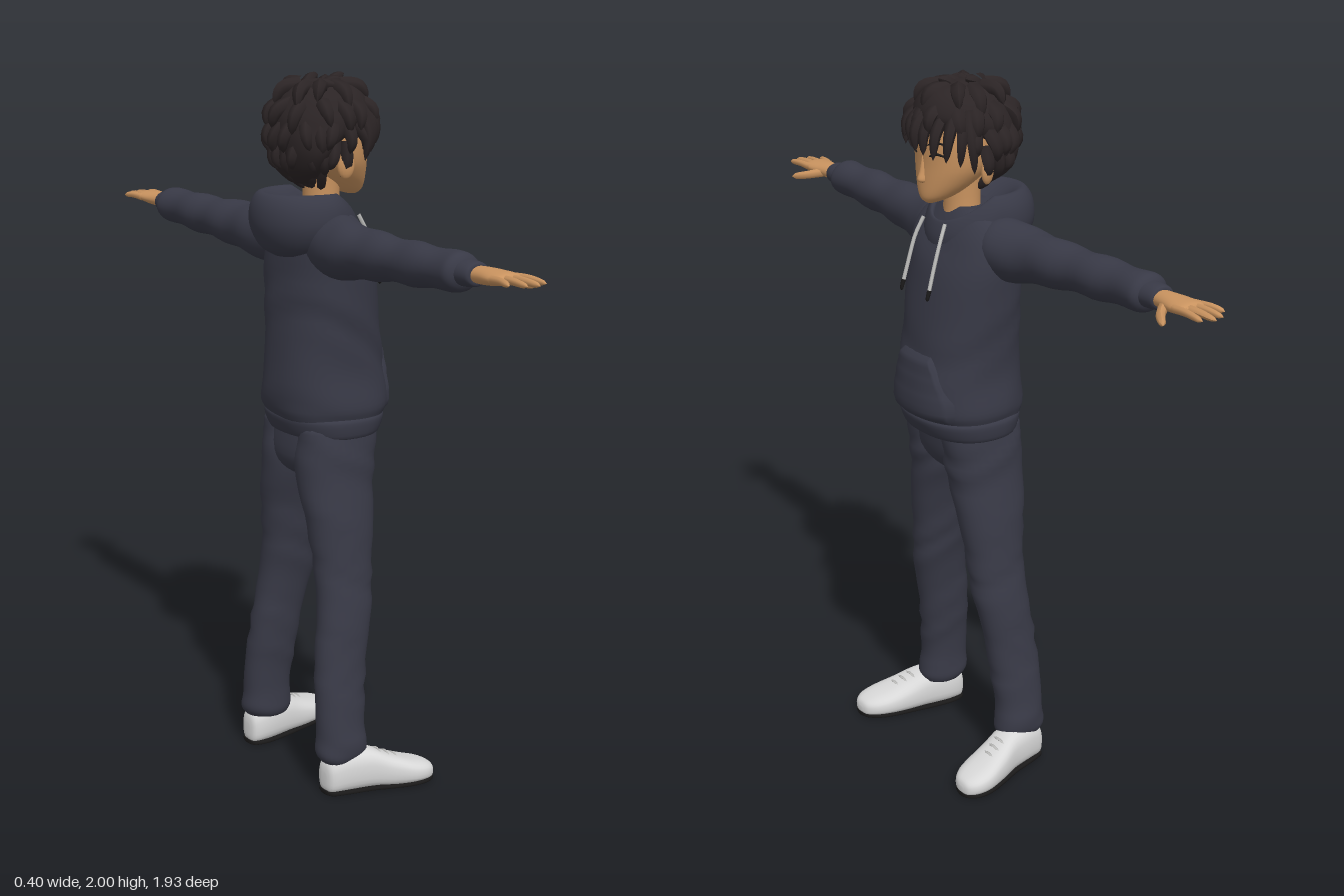
import * as THREE from 'three';

const mat = (name, color) => Object.assign(new THREE.MeshStandardMaterial({ color }), { name });
const V = (x, y, z) => new THREE.Vector3(x, y, z);

// Catmull-Rom resampling of cross-section rows
function smooth(rows, k = 4) {
  const out = [], at = i => rows[Math.min(Math.max(i, 0), rows.length - 1)];
  for (let i = 0; i < rows.length - 1; i++) for (let s = 0; s < k; s++) {
    const t = s / k, [a, b, c, d] = [at(i - 1), at(i), at(i + 1), at(i + 2)];
    out.push(b.map((q, n) => 0.5 * (2 * q + (c[n] - a[n]) * t + (2 * a[n] - 5 * q + 4 * c[n] - d[n]) * t * t
      + (3 * q - a[n] - 3 * c[n] + d[n]) * t * t * t)));
  }
  out.push(rows.at(-1));
  return out;
}

// Closed skin over rows [position along axis, centre 1, centre 2, radius 1, radius 2]
function loft(rows, axis, power = 2, n = 28) {
  const pos = [], idx = [], m = rows.length;
  const put = (t, u, v) => pos.push(...(axis === 'x' ? [t, u, v] : axis === 'y' ? [u, t, v] : [u, v, t]));
  const bend = c => Math.sign(c) * Math.abs(c) ** (2 / power);
  for (const [t, u, v, ru, rv] of rows) for (let j = 0; j < n; j++) {
    const a = j / n * Math.PI * 2, flip = axis === 'y' ? -1 : 1;
    put(t, u + Math.max(ru, 0.001) * bend(Math.cos(a)), v + flip * Math.max(rv, 0.001) * bend(Math.sin(a)));
  }
  put(...rows[0]); put(...rows[m - 1]);
  for (let j = 0; j < n; j++) {
    const k = (j + 1) % n, e = (m - 1) * n;
    for (let i = 0; i < m - 1; i++) {
      const a = i * n + j, b = i * n + k;
      idx.push(a, b, a + n, b, b + n, a + n);
    }
    idx.push(m * n, k, j, m * n + 1, e + j, e + k);
  }
  const g = new THREE.BufferGeometry();
  g.setAttribute('position', new THREE.Float32BufferAttribute(pos, 3));
  g.setIndex(idx);
  g.computeVertexNormals();
  return g;
}
// Upright section from height, centre x, half width, back z and front z
const up = rows => smooth(rows.map(([y, x, w, a, b]) => [y, x, (a + b) / 2, w, (b - a) / 2]));

// Move every vertex by a rule
function warp(g, rule) {
  const p = g.attributes.position, v = V(0, 0, 0), n = V(0, 0, 0);
  for (let i = 0; i < p.count; i++) {
    v.fromBufferAttribute(p, i);
    n.fromBufferAttribute(g.attributes.normal, i);
    rule(v, n);
    p.setXYZ(i, v.x, v.y, v.z);
  }
  g.computeVertexNormals();
  return g;
}
const folds = (g, amp, fx, fy) => warp(g, (v, n) =>
  v.addScaledVector(n, amp * Math.sin(fx * v.x + fy * v.y + 22 * v.z + 2 * Math.sin(19 * v.y + 13 * v.z))));

// Tube along points whose radius follows a rule
function taper(points, r, f, radial = 7) {
  const seg = 9, curve = new THREE.CatmullRomCurve3(points);
  const g = new THREE.TubeGeometry(curve, seg, r, radial), p = g.attributes.position;
  for (let i = 0; i < p.count; i++) {
    const t = Math.floor(i / (radial + 1)) / seg, c = curve.getPointAt(t);
    const v = V(0, 0, 0).fromBufferAttribute(p, i).sub(c).multiplyScalar(Math.max(f(t), 0.01)).add(c);
    p.setXYZ(i, v.x, v.y, v.z);
  }
  g.computeVertexNormals();
  return g;
}
const blunt = t => Math.sqrt(1 - t ** 8) * (1 - 0.25 * t);
const even = () => 1;

// Copy reflected across x with its faces turned back outward
function reflect(src) {
  const g = src.clone().applyMatrix4(new THREE.Matrix4().makeScale(-1, 1, 1)), a = g.index.array;
  for (let i = 0; i < a.length; i += 3) [a[i], a[i + 1]] = [a[i + 1], a[i]];
  return g;
}

export function createModel() {
  const root = new THREE.Group(), body = new THREE.Group();
  root.name = 'person';
  body.name = 'figure';
  body.rotation.y = Math.PI / 2;
  root.add(body);
  const cloth = mat('hoodieNavy', 0x383946), denim = mat('trouserNavy', 0x393a47), skin = mat('skin', 0xc9935f),
    hairM = mat('hairBrown', 0x2b2425), shoeM = mat('shoeWhite', 0xd8d8d8), dark = mat('black', 0x1a1919),
    cord = mat('cordGrey', 0xbdbdbb);
  const add = (name, g, m) => {
    const o = new THREE.Mesh(g, m);
    o.name = name;
    body.add(o);
  };
  const pair = (name, g, m) => { add(name + 'Left', g, m); add(name + 'Right', reflect(g), m); };

  // Hoodie body, hem and pocket
  const torso = up([[1.05, 0, .165, -.125, .145], [1.075, 0, .172, -.14, .165], [1.11, 0, .178, -.15, .178],
    [1.2, 0, .166, -.148, .17], [1.3, 0, .17, -.138, .155], [1.4, 0, .182, -.13, .14], [1.5, 0, .19, -.122, .12],
    [1.57, 0, .182, -.115, .095], [1.62, 0, .155, -.1, .065], [1.655, 0, .1, -.08, .04]]);
  add('hoodieBody', folds(loft(torso, 'y', 2.3, 40), .0025, 17, 30), cloth);
  add('hoodieHem', loft(up([[1.02, 0, .155, -.11, .13], [1.025, 0, .172, -.125, .148],
    [1.065, 0, .178, -.138, .165], [1.08, 0, .168, -.13, .155]]), 'y', 2.3, 40), cloth);
  const frontZ = (x, y) => {
    const r = torso.reduce((a, b) => Math.abs(b[0] - y) < Math.abs(a[0] - y) ? b : a);
    return r[2] + r[4] * (1 - Math.min(Math.abs(x) / r[3], .99) ** 2.3) ** (1 / 2.3);
  };
  add('frontPocket', warp(new THREE.PlaneGeometry(2, 1, 24, 12), v => {
    const h = v.y + .5, side = Math.abs(v.x), border = side > .98 || h > .98 || h < .02;
    const y = 1.075 + .19 * h, x = v.x * (h < .3 ? .14 : .14 - .075 * (h - .3) / .7);
    v.set(x, y, frontZ(x, y) + (border ? -.004 : .01));
  }), cloth);

  // Lowered hood, dipping toward the chest
  add('hood', warp(loft(up([[1.52, 0, .05, -.14, -.05], [1.545, 0, .115, -.175, .04], [1.6, 0, .148, -.2, .09],
    [1.655, 0, .145, -.2, .1], [1.69, 0, .122, -.18, .088], [1.685, 0, .1, -.15, .078], [1.65, 0, .08, -.1, .07],
    [1.6, 0, .04, -.05, .05]]), 'y', 2, 36), v => { v.y -= .7 * Math.max(0, v.z + .02); }), cloth);

  // Drawstrings with dark tips
  pair('drawstring', taper([V(.05, 1.62, .095), V(.058, 1.57, .118), V(.06, 1.5, .14), V(.062, 1.44, .157)], .0055, even), cord);
  pair('drawstringTip', taper([V(.062, 1.45, .154), V(.062, 1.435, .159), V(.062, 1.42, .162)], .0065, blunt), dark);

  // Sleeves and cuffs
  pair('sleeve', folds(loft(smooth([[.07, 1.55, -.03, .075, .07], [.14, 1.552, -.035, .086, .085], [.2, 1.553, -.042, .078, .08],
    [.3, 1.557, -.05, .068, .07], [.42, 1.562, -.056, .058, .062], [.55, 1.566, -.06, .055, .058], [.66, 1.57, -.06, .05, .056],
    [.7, 1.572, -.06, .046, .054], [.715, 1.572, -.06, .03, .035]]), 'x'), .003, 40, 25), cloth);
  pair('cuff', loft(smooth([[.695, 1.573, -.058, .03, .038], [.705, 1.573, -.058, .034, .042],
    [.75, 1.574, -.057, .031, .038], [.758, 1.574, -.057, .022, .027]]), 'x'), cloth);

  // Hands
  pair('palm', loft(smooth([[.735, 1.574, -.055, .02, .026], [.78, 1.575, -.053, .022, .032], [.83, 1.577, -.052, .019, .042],
    [.865, 1.579, -.052, .014, .042], [.876, 1.579, -.052, .004, .03]]), 'x'), skin);
  [[-.086, .925, -.103], [-.064, .955, -.071], [-.041, .965, -.041], [-.018, .95, -.01]].forEach(([z, tip, tz], i) =>
    pair('finger' + (i + 1), taper([V(.84, 1.578, z), V(.89, 1.581, (z + tz) / 2), V(tip, 1.577, tz)], .011, blunt), skin));
  pair('thumb', taper([V(.785, 1.572, -.04), V(.82, 1.562, .005), V(.865, 1.552, .036)], .014, blunt), skin);

  // Trousers
  add('trouserSeat', loft(up([[.885, 0, .03, -.05, .04], [.91, 0, .09, -.1, .08], [.96, 0, .15, -.124, .112],
    [1.06, 0, .158, -.115, .125]]), 'y', 2.3), denim);
  pair('trouserLeg', folds(loft(up([[.095, .197, .048, -.125, .01], [.115, .198, .058, -.135, .02], [.15, .197, .06, -.136, .018],
    [.2, .191, .056, -.136, .014], [.3, .18, .055, -.13, .022], [.45, .163, .058, -.116, .045], [.55, .15, .06, -.1, .064],
    [.65, .135, .065, -.1, .074], [.8, .112, .075, -.115, .09], [.9, .091, .086, -.122, .105],
    [.97, .086, .087, -.125, .115], [1.05, .08, .082, -.115, .12]]), 'y', 2.15), .003, 20, 45), denim);

  // Shoes, soles and laces
  const foot = smooth([[-.125, .204, .045, .012, .02], [-.115, .204, .05, .036, .05], [-.07, .208, .06, .049, .062],
    [0, .222, .06, .054, .062], [.06, .24, .047, .06, .05], [.12, .256, .036, .064, .038], [.165, .265, .03, .055, .03],
    [.192, .269, .025, .034, .022], [.2, .27, .022, .01, .008]]);
  pair('shoe', warp(loft(foot, 'z', 2.6), v => { v.y = Math.max(v.y, .011); }), shoeM);
  const soleRows = foot.map(([z, x, , r]) => [z, x, .006, r * .97, .006]);
  pair('sole', loft(soleRows, 'z', 5), dark);
  for (let i = 0; i < 3; i++) {
    const z = .035 + i * .024, y = .109 - i * .011, x = .233 + i * .008;
    pair('lace' + (i + 1), taper([V(x - .03, y - .01, z), V(x, y, z + .004), V(x + .03, y - .01, z)], .004, even, 5), cord);
  }

  // Neck, head, nose and ears
  add('neck', loft(up([[1.58, 0, .056, -.05, .06], [1.66, 0, .05, -.045, .055], [1.75, 0, .052, -.05, .06]]), 'y'), skin);
  const head = up([[1.672, 0, .012, .095, .118], [1.682, 0, .034, .06, .13], [1.7, 0, .058, .02, .134], [1.735, 0, .088, -.03, .133],
    [1.78, 0, .111, -.07, .131], [1.85, 0, .118, -.1, .132], [1.92, 0, .105, -.1, .115], [1.96, 0, .06, -.06, .07]]);
  add('head', loft(head, 'y', 2, 36), skin);
  add('nose', loft(up([[1.728, 0, .006, .12, .134], [1.736, 0, .013, .115, .147], [1.76, 0, .009, .115, .14],
    [1.8, 0, .005, .115, .132]]), 'y', 2, 12), skin);
  const ear = new THREE.SphereGeometry(1, 14, 10).scale(.012, .036, .024).rotateY(.35).translate(.117, 1.765, .005);
  pair('ear', ear, skin);

  // Lashes and brows laid on the face
  const faceZ = (x, y) => {
    const r = head.reduce((a, b) => Math.abs(b[0] - y) < Math.abs(a[0] - y) ? b : a);
    return r[2] + r[4] * Math.sqrt(1 - (x / r[3]) ** 2);
  };
  const onFace = list => list.map(([x, y]) => V(x, y, faceZ(x, y)));
  pair('upperLash', taper(onFace([[.028, 1.803], [.05, 1.812], [.075, 1.806]]), .004, t => .5 + Math.sin(t * Math.PI) / 2), dark);
  pair('brow', taper(onFace([[.022, 1.832], [.05, 1.842], [.08, 1.835]]), .004, t => .4 + Math.sin(t * Math.PI) / 2), dark);

  // Hair mass
  add('hairCap', loft(up([[1.715, 0, .05, -.085, -.035], [1.745, 0, .09, -.112, -.03], [1.79, 0, .124, -.128, -.01],
    [1.83, 0, .135, -.135, .03], [1.865, 0, .136, -.135, .09], [1.9, 0, .132, -.13, .135], [1.945, 0, .108, -.106, .125],
    [1.975, 0, .07, -.07, .09], [1.987, 0, .02, -.02, .03]]), 'y', 2, 32), hairM);

  // Hair locks bowed outward from the skull
  const core = V(0, 1.85, 0);
  let count = 0;
  const lock = (a, b, r, bow = .03) => {
    const mid = a.clone().lerp(b, .5);
    mid.addScaledVector(mid.clone().sub(core).normalize(), bow);
    add('hairLock' + ++count, taper([a, mid, b], r, t => (1 - t) ** .6 * (.75 + .5 * t), 6), hairM);
  };
  const onSkull = (a, y, out) => {
    const q = Math.sqrt(Math.max(0, 1 - ((y - 1.85) / .145) ** 2)) * .132 + out;
    return V(Math.sin(a) * q, y, Math.cos(a) * q);
  };
  // Rows run from the crown to the nape, leaving the face clear
  [[9, 1.97, 1.925, .03, 0], [13, 1.93, 1.86, .03, 0], [13, 1.88, 1.8, .028, 1.2], [12, 1.83, 1.745, .026, 1.5],
    [9, 1.785, 1.7, .022, 2.1]].forEach(([n, y0, y1, r, open], row) => {
    for (let i = 0; i < n; i++) {
      const a = open + (2 * Math.PI - 2 * open) * (open ? i / (n - 1) : i / n) + (open ? 0 : row * .3);
      const wave = .012 * Math.sin(i * 2.4 + row);
      lock(onSkull(a, y0, -.02), onSkull(a + .18 * Math.sin(i * 1.7), y1 + wave, .016 + wave * .4 - (row > 3 ? .005 : 0)), r, .022);
    }
  });
  // Tufts on top
  [[-.03, 1.985, .02], [.03, 1.995, -.01], [.0, 1.998, .05], [.06, 1.98, .05], [-.06, 1.975, -.03]].forEach(([x, y, z]) =>
    lock(V(x * .4, 1.955, z - .03), V(x * 1.3, y, z + .03), .026, .012));
  // Fringe parted to one side: base x, tip x, tip y, tip z
  [[-.1, -.128, 1.775, .06], [-.09, -.112, 1.795, .09], [-.07, -.088, 1.815, .125], [-.05, -.068, 1.84, .142],
    [-.02, -.025, 1.84, .155], [-.005, .005, 1.815, .156], [.02, .035, 1.81, .152], [.045, .062, 1.8, .14],
    [.07, .09, 1.795, .118], [.09, .115, 1.785, .09], [.1, .13, 1.765, .055]].forEach(([x, tx, ty, tz]) =>
    lock(V(x, 1.925, .11 - Math.abs(x) * .55), V(tx, ty, tz), .024, .022));

  return root;
}
